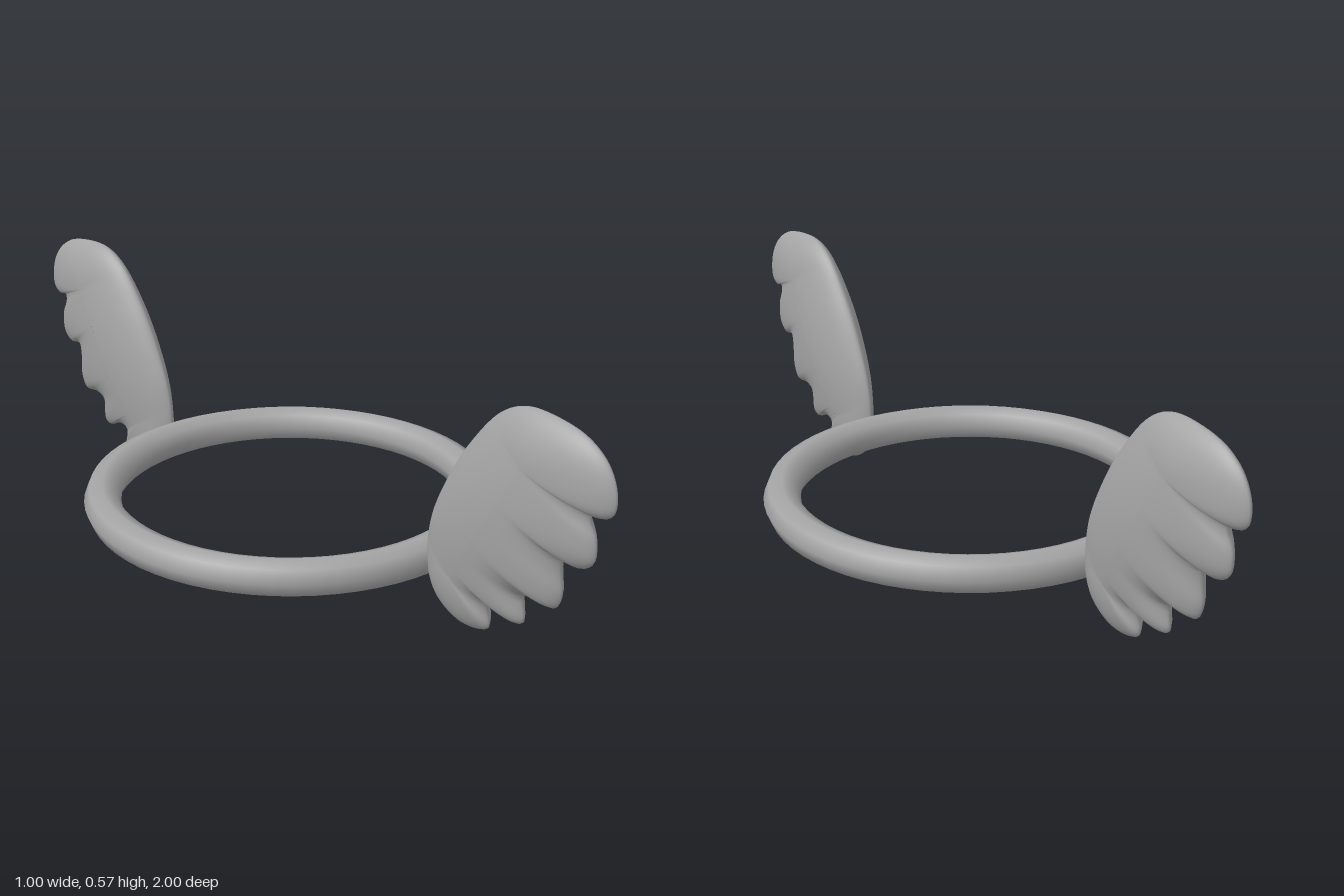
import * as THREE from 'three';
import { mergeVertices } from 'three/addons/utils/BufferGeometryUtils.js';

const material = new THREE.MeshStandardMaterial({ color: 0xa4a4a4 });

// Wing outline as [z, y]: leading edge up to the tip, then down the feather ends
const OUTLINE = [
  [0.478, 0.155], [0.492, 0.24], [0.542, 0.35], [0.603, 0.446], [0.68, 0.532], [0.75, 0.566],
  [0.84, 0.566], [0.92, 0.546], [0.975, 0.505], [1.0, 0.45], [0.996, 0.405], [0.97, 0.388],
  [0.938, 0.392], [0.937, 0.368], [0.955, 0.33], [0.953, 0.282], [0.922, 0.259],
  [0.874, 0.264], [0.868, 0.236], [0.874, 0.175], [0.858, 0.142], [0.8, 0.145],
  [0.767, 0.134], [0.768, 0.112], [0.772, 0.073], [0.75, 0.064], [0.715, 0.08],
  [0.67, 0.082], [0.664, 0.06], [0.672, 0.02], [0.64, 0.004], [0.58, 0.003],
  [0.515, 0.038], [0.485, 0.09],
];

// Pillow-like wing: loops shrink from the outline onto a spine while x swells
function wingGeometry() {
  const curve = new THREE.CatmullRomCurve3(
    OUTLINE.map(([z, y]) => new THREE.Vector3(0, y, z)), true, 'centripetal');
  const spine = new THREE.Line3(new THREE.Vector3(0, 0.12, 0.59), new THREE.Vector3(0, 0.45, 0.79));
  const around = 160, layers = 24;
  const edge = curve.getSpacedPoints(around).slice(0, around);
  const positions = [], index = [];
  for (let j = 0; j <= layers; j++) {
    const phi = Math.PI * j / layers;
    const swell = Math.sign(Math.cos(phi)) * Math.abs(Math.cos(phi)) ** 1.3;
    for (const p of edge) {
      const s = spine.closestPointToPointParameter(p, true);
      const thickness = 0.066 - 0.07 * (s - 0.58) ** 2;
      const v = spine.at(s, new THREE.Vector3()).lerp(p, Math.sin(phi));
      positions.push(thickness * swell, v.y, v.z);
    }
  }
  for (let j = 0; j < layers; j++) {
    for (let i = 0; i < around; i++) {
      const n = (i + 1) % around;
      const a = j * around + i, b = a + around;
      const c = (j + 1) * around + n, d = j * around + n;
      index.push(a, b, c, a, c, d);
    }
  }
  let geometry = new THREE.BufferGeometry();
  geometry.setAttribute('position', new THREE.Float32BufferAttribute(positions, 3));
  geometry.setIndex(index);
  geometry = mergeVertices(geometry, 1e-4);
  geometry.computeVertexNormals();
  return geometry;
}

export function createModel() {
  const model = new THREE.Group();
  model.name = 'wingedRing';

  // Flat-lying ring
  const ring = new THREE.Mesh(new THREE.TorusGeometry(0.455, 0.045, 8, 64), material);
  ring.name = 'ring';
  ring.rotation.x = Math.PI / 2;
  ring.position.y = 0.115;
  model.add(ring);

  // Two identical wings on opposite sides
  const geometry = wingGeometry();
  ['frontWing', 'backWing'].forEach((name, k) => {
    const wing = new THREE.Mesh(geometry, material);
    wing.name = name;
    wing.rotation.y = k * Math.PI;
    model.add(wing);
  });
  return model;
}
